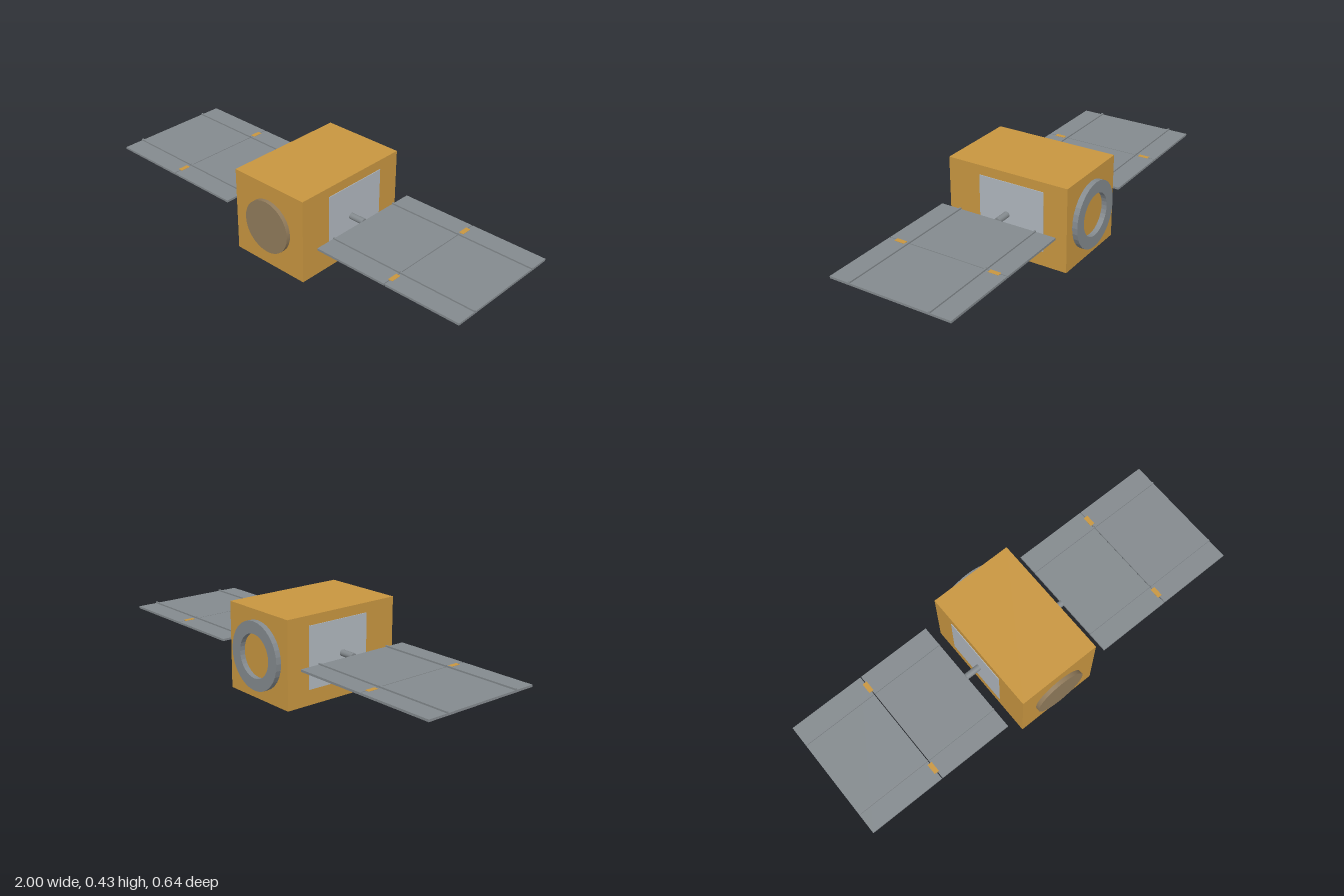
import * as THREE from 'three';

export function createModel() {
  const model = new THREE.Group();
  model.name = 'satellite';

  const paint = (name, color) => {
    const m = new THREE.MeshStandardMaterial({ color });
    m.name = name;
    return m;
  };
  const gold = paint('gold foil', 0xc89640);
  const grey = paint('frame grey', 0x848a8e);
  const silver = paint('radiator silver', 0xb0b7be);
  const bronze = paint('antenna bronze', 0x917b5b);
  const solar = paint('solar cell', 0x2a3440);

  const add = (parent, name, geometry, material, x, y, z) => {
    const mesh = new THREE.Mesh(geometry, material);
    mesh.name = name;
    mesh.position.set(x, y, z);
    parent.add(mesh);
    return mesh;
  };
  const box = (parent, name, material, [w, h, d], x, y, z) =>
    add(parent, name, new THREE.BoxGeometry(w, h, d), material, x, y, z);

  const midY = 0.232, midZ = 0.003;

  // Foil-wrapped bus
  box(model, 'body', gold, [0.4, 0.4, 0.6], 0, midY, midZ);

  // Round antenna on the front
  add(model, 'frontAntenna', new THREE.CylinderGeometry(0.125, 0.125, 0.02, 32), bronze, 0, midY, 0.312)
    .rotation.x = Math.PI / 2;

  // Docking ring on the back
  const ringShape = new THREE.Shape().absarc(0, 0, 0.156, 0, Math.PI * 2);
  ringShape.holes.push(new THREE.Path().absarc(0, 0, 0.1, 0, Math.PI * 2, true));
  add(model, 'rearRing',
    new THREE.ExtrudeGeometry(ringShape, { depth: 0.025, bevelEnabled: false, curveSegments: 16 }),
    grey, 0, midY, -0.322);

  // Underside: sensor disc and solar patch
  add(model, 'bottomSensor', new THREE.CylinderGeometry(0.085, 0.085, 0.024, 32), silver, 0, 0.012, 0.185);
  box(model, 'bottomSolarPatch', solar, [0.34, 0.004, 0.34], 0, 0.0315, -0.098);

  // One side: radiator, boom and a two-panel solar wing
  const panels = [[0.275, 0.633], [0.637, 1.0]];
  const wingY = 0.2325, wingT = 0.01, wingD = 0.582;
  for (const side of [1, -1]) {
    const wing = new THREE.Group();
    wing.name = side > 0 ? 'leftWing' : 'rightWing';
    model.add(wing);

    box(wing, 'radiator', silver, [0.006, 0.284, 0.325], side * 0.2, 0.245, -0.02);
    add(wing, 'boom', new THREE.CylinderGeometry(0.015, 0.015, 0.08, 12), grey, side * 0.236, midY, midZ)
      .rotation.z = Math.PI / 2;

    for (const [x0, x1] of panels) {
      const w = x1 - x0, cx = side * (x0 + x1) / 2;
      box(wing, 'panelFrame', grey, [w, wingT, wingD], cx, wingY, midZ);
      for (const end of [1, -1]) {
        // Stiffening rail on top, solar cells underneath
        box(wing, 'rail', grey, [w, 0.007, 0.008], cx, 0.241, midZ + end * 0.192);
        box(wing, 'solarCells', solar, [w - 0.008, 0.002, wingD / 2 - 0.008],
          cx, wingY - wingT / 2, midZ + end * wingD / 4);
      }
    }

    // Hinges joining the two panels
    for (const z of [0.235, -0.23]) {
      box(wing, 'hingePlate', gold, [0.022, 0.003, 0.05], side * 0.638, 0.237, z);
      box(wing, 'hingePin', gold, [0.006, 0.012, 0.05], side * 0.635, 0.2315, z);
    }
  }
  return model;
}
